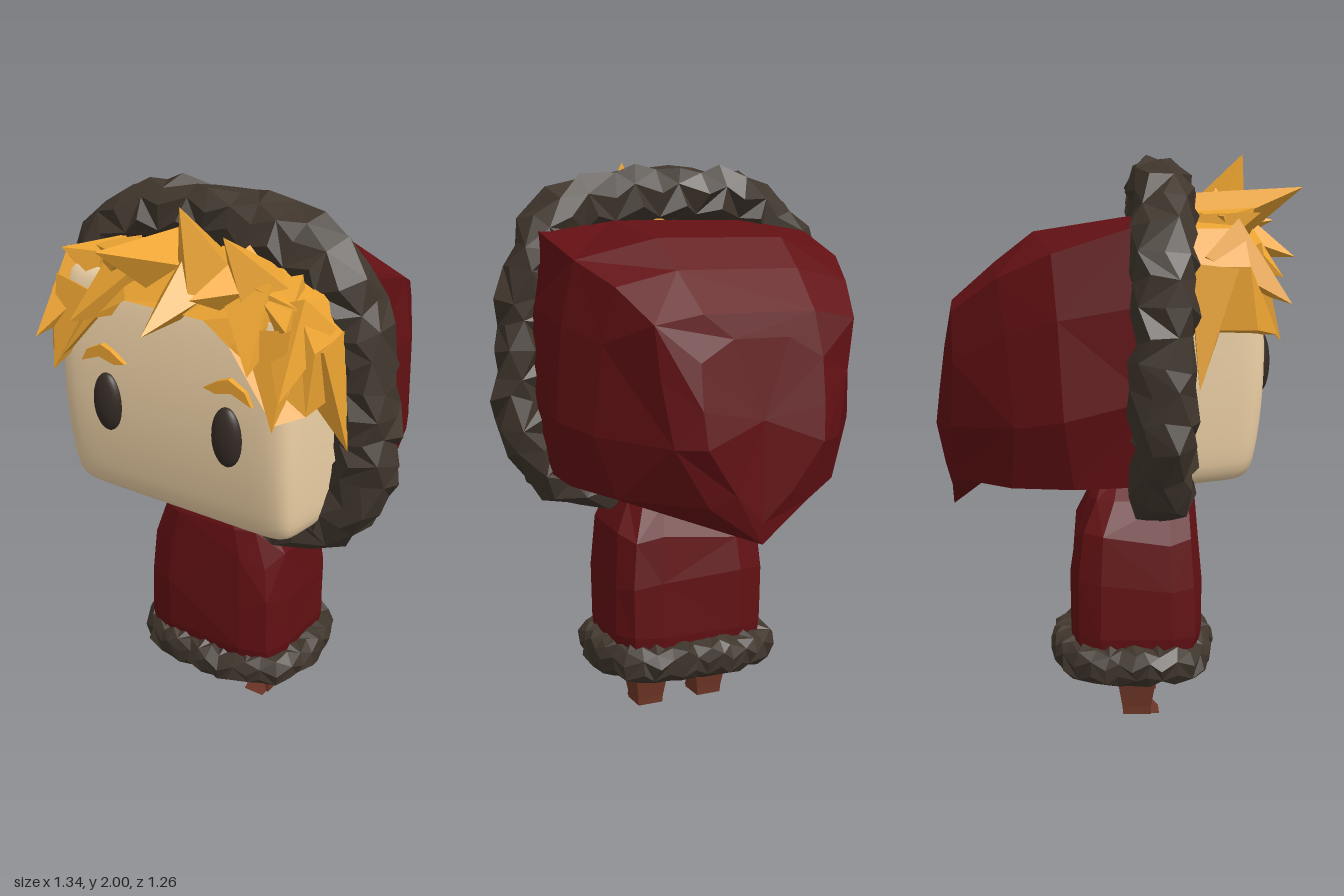
import * as THREE from 'three';
import { mergeVertices } from 'three/addons/utils/BufferGeometryUtils.js';

const V = (x, y, z) => new THREE.Vector3(x, y, z);
const flat = (color) => new THREE.MeshStandardMaterial({ color, flatShading: true });
const smooth = (color) => new THREE.MeshStandardMaterial({ color });

// Small seeded generator, gives -1..1
function seeded(seed) {
  return () => {
    seed = (seed * 1664525 + 1013904223) % 4294967296;
    return seed / 2147483648 - 1;
  };
}

// Skin a row of equal-length loops; either joined end to end or capped
function loft(rings, joined = false) {
  const n = rings[0].length, m = rings.length;
  const pos = rings.flat().flatMap((p) => [p.x, p.y, p.z]);
  const index = [];
  for (let i = 0; i < (joined ? m : m - 1); i++) {
    for (let j = 0; j < n; j++) {
      const k = (j + 1) % n, u = ((i + 1) % m) * n, a = i * n;
      if ((i + j) % 2) index.push(a + j, u + j, u + k, a + j, u + k, a + k);
      else index.push(a + j, u + j, a + k, u + j, u + k, a + k);
    }
  }
  if (!joined) {
    [0, m - 1].forEach((r, end) => {
      const c = rings[r].reduce((s, p) => s.add(p), V(0, 0, 0)).divideScalar(n);
      const ci = pos.length / 3;
      pos.push(c.x, c.y, c.z);
      for (let j = 0; j < n; j++) {
        const a = r * n + j, b = r * n + ((j + 1) % n);
        index.push(ci, end ? b : a, end ? a : b);
      }
    });
  }
  const g = new THREE.BufferGeometry();
  g.setAttribute('position', new THREE.Float32BufferAttribute(pos, 3));
  g.setIndex(index);
  g.computeVertexNormals();
  return g;
}

// Lumpy closed fur roll along a loop of points lying across the given axis
function furRoll(points, axis, out, along, segments, jitter, seed) {
  const rnd = seeded(seed), curve = new THREE.CatmullRomCurve3(points, true);
  const rings = [];
  for (let i = 0; i < segments; i++) {
    const c = curve.getPointAt(i / segments), t = curve.getTangentAt(i / segments);
    const o = t.clone().cross(axis).normalize();
    const ring = [];
    for (let j = 0; j < 8; j++) {
      const a = ((j + (i % 2) * 0.5) / 8) * Math.PI * 2, r = 1 + rnd() * jitter;
      ring.push(c.clone().addScaledVector(o, Math.cos(a) * out * r)
        .addScaledVector(axis, Math.sin(a) * along * Math.min(r, 1.06))
        .addScaledVector(t, rnd() * jitter * out * 0.9));
    }
    rings.push(ring);
  }
  return loft(rings, true);
}

// Softly rounded block, narrowing towards the back and the chin
function headGeometry() {
  let g = new THREE.BoxGeometry(2, 2, 2, 24, 24, 24);
  g.deleteAttribute('uv');
  g.deleteAttribute('normal');
  g = mergeVertices(g);
  const p = g.attributes.position;
  for (let i = 0; i < p.count; i++) {
    const v = V(p.getX(i), p.getY(i), p.getZ(i));
    v.divideScalar((v.x ** 14 + v.y ** 14 + v.z ** 14) ** (1 / 14));
    const back = Math.max(0, -v.z), front = Math.max(0, v.z), low = Math.max(0, -v.y), high = Math.max(0, v.y);
    p.setXYZ(i, 0.475 * v.x * (1 - 0.3 * back) * (1 - 0.04 * front - 0.04 * low * low),
      0.425 * v.y * (1 - 0.15 * back) + 0.03 * front * low,
      0.34 * v.z * (1 - 0.13 * low * low - 0.15 * high * high));
  }
  g.computeVertexNormals();
  return g;
}

export function createModel() {
  const model = new THREE.Group();
  const add = (name, geo, mat, parent = model) => {
    const m = new THREE.Mesh(geo, mat);
    m.name = name;
    parent.add(m);
    return m;
  };
  const red = flat(0x621013), fur = flat(0x40362d), gold = flat(0xeca432);
  const skin = smooth(0xeed1a6), dark = smooth(0x352b25), brown = flat(0x6e3626), grey = flat(0xcccccc);

  add('head', headGeometry(), skin).position.set(0, 1.31, 0.135);

  // Eyes and eyebrows
  const brow = [[0.155, 1.45], [0.2, 1.44], [0.26, 1.455], [0.335, 1.425], [0.31, 1.47], [0.25, 1.5], [0.21, 1.485]];
  for (const s of [1, -1]) {
    const eye = add(s > 0 ? 'leftEye' : 'rightEye', new THREE.SphereGeometry(1, 24, 16), dark);
    eye.scale.set(0.056, 0.105, 0.035);
    eye.position.set(s * 0.238, 1.293, 0.475);
    const pts = brow.map(([x, y]) => new THREE.Vector2(x * s, y));
    const geo = new THREE.ExtrudeGeometry(new THREE.Shape(pts), { depth: 0.05, bevelEnabled: false });
    add(s > 0 ? 'leftEyebrow' : 'rightEyebrow', geo, gold).position.z = 0.435;
  }

  // Hair: arched mass over the forehead, sloping back at the top
  const hair = new THREE.Group();
  hair.name = 'hair';
  model.add(hair);
  const half = [[0.5, 1.42], [0.51, 1.62], [0.44, 1.74], [0.22, 1.79]];
  const line = [[0.15, 1.67], [0.25, 1.61], [0.36, 1.48], [0.43, 1.4]];
  const flip = (list) => list.map(([x, y]) => [-x, y]).reverse();
  const arch = [...half, ...flip(half), ...flip(line), ...line].map(([x, y]) => new THREE.Vector2(x, y));
  const archGeo = new THREE.ExtrudeGeometry(new THREE.Shape(arch), { depth: 0.3, bevelEnabled: false });
  const ap = archGeo.attributes.position;
  for (let i = 0; i < ap.count; i++) {
    const x = Math.abs(ap.getX(i)), y = ap.getY(i);
    const outer = x > 0.48 || y > 1.7 ? 0.07 : 0;
    ap.setZ(i, ap.getZ(i) > 0.15 ? 0.51 - (y - 1.4) * 0.14 - outer : 0.15);
  }
  add('hairMass', archGeo, gold, hair);

  // Hair spikes: root, tip, radius
  const spike = (root, tip, r) => {
    const a = V(...root), b = V(...tip), d = b.clone().sub(a), h = d.length();
    const m = add('hairSpike', new THREE.ConeGeometry(r, h, 4), gold, hair);
    m.position.copy(a).lerp(b, 0.5);
    m.quaternion.setFromUnitVectors(V(0, 1, 0), d.normalize());
  };
  const fringe = [
    [[0.09, 1.72, 0.33], [0.05, 2.0, 0.44], 0.14],
    [[0.27, 1.71, 0.3], [0.2, 1.93, 0.43], 0.13],
    [[-0.08, 1.74, 0.28], [-0.13, 1.88, 0.63], 0.13],
    [[0.05, 1.76, 0.3], [0.03, 1.64, 0.63], 0.13],
    [[0.2, 1.74, 0.28], [0.17, 1.77, 0.57], 0.12],
    [[-0.3, 1.71, 0.3], [-0.17, 1.81, 0.46], 0.12],
    [[-0.3, 1.7, 0.3], [-0.42, 1.79, 0.45], 0.12],
    [[-0.2, 1.7, 0.36], [-0.33, 1.58, 0.54], 0.12],
    [[0.32, 1.7, 0.3], [0.45, 1.7, 0.48], 0.12],
    [[0.26, 1.7, 0.34], [0.36, 1.56, 0.55], 0.12],
  ];
  fringe.forEach((s) => spike(...s));
  for (const s of [1, -1]) {
    spike([s * 0.37, 1.64, 0.38], [s * 0.43, 1.38, 0.52], 0.12);
    spike([s * 0.4, 1.68, 0.32], [s * 0.47, 1.5, 0.55], 0.12);
    spike([s * 0.44, 1.6, 0.3], [s * 0.55, 1.23, 0.25], 0.11);
  }

  // Hood: boxy faceted sections running backwards, ending in a low tip
  const sections = [
    [[0, 0.95, 0.1], [0.49, 0.91, 0.1], [0.54, 1.2, 0.1], [0.545, 1.5, 0.08], [0.52, 1.75, 0.06], [0.25, 1.785, 0.06]],
    [[0, 0.94, -0.18], [0.49, 0.9, -0.15], [0.55, 1.13, -0.18], [0.535, 1.45, -0.2], [0.495, 1.66, -0.22], [0.23, 1.73, -0.29]],
    [[0, 0.9, -0.4], [0.41, 0.89, -0.36], [0.48, 1.1, -0.34], [0.46, 1.4, -0.37], [0.425, 1.58, -0.4], [0.22, 1.63, -0.42]],
    [[0, 0.75, -0.6], [0.18, 0.88, -0.58], [0.3, 1.08, -0.57], [0.34, 1.3, -0.555], [0.36, 1.47, -0.555], [0.2, 1.5, -0.57]],
    [[0, 0.82, -0.605], [0.1, 0.92, -0.615], [0.21, 1.08, -0.63], [0.22, 1.2, -0.615], [0.22, 1.35, -0.595], [0.1, 1.42, -0.583]],
  ].map((s) => [...s, ...s.slice(1).map(([x, y, z]) => [-x, y, z]).reverse()].map((p) => V(...p)));
  add('hood', loft(sections), red);

  // Fur trim around the hood opening, tucked back where it meets the collar
  const trim = [[0.1, 0.86], [0.25, 0.84], [0.42, 0.88], [0.535, 1.02], [0.552, 1.3], [0.515, 1.6], [0.4, 1.8], [0.2, 1.867]];
  const trimPath = [...trim, ...flip(trim)].map(([x, y]) => V(x, y, Math.abs(x) < 0.15 && y < 1 ? 0.1 : 0.135));
  add('hoodFurTrim', furRoll(trimPath, V(0, 0, 1), 0.105, 0.112, 44, 0.2, 7), fur);

  // Coat: rounded-square sections with slightly uneven facets
  const rnd = seeded(21);
  const coat = [[0.2, 0.28, 0.22], [0.32, 0.295, 0.24], [0.52, 0.295, 0.237], [0.68, 0.278, 0.222], [0.8, 0.225, 0.19], [0.86, 0.15, 0.165], [0.885, 0.1, 0.14]]
    .map(([y, w, d]) => Array.from({ length: 12 }, (_, j) => {
      const a = ((j + 0.5) / 12) * Math.PI * 2, c = Math.cos(a), s = Math.sin(a), k = 1 + rnd() * 0.02;
      return V(0.006 + Math.sign(c) * Math.abs(c) ** 0.48 * w * k, y + (y > 0.4 && y < 0.75 ? rnd() * 0.03 : 0),
        0.06 + (y > 0.75 ? 0.02 : 0) + Math.sign(s) * Math.abs(s) ** 0.48 * d * k);
    }));
  add('coat', loft(coat), red);

  // Fur trim around the hem
  const hem = Array.from({ length: 16 }, (_, i) => {
    const a = (-i / 16) * Math.PI * 2, c = Math.cos(a), s = Math.sin(a);
    return V(0.006 + Math.sign(c) * Math.abs(c) ** 0.7 * 0.293, 0.228, 0.05 + Math.sign(s) * Math.abs(s) ** 0.7 * 0.233);
  });
  add('hemFurTrim', furRoll(hem, V(0, 1, 0), 0.066, 0.07, 40, 0.2, 3), fur);

  // Legs and boots, with a small toe at the front
  const box = (x, y, w, z0, z1) => [V(x + w, y, z0), V(x + w, y, z1), V(x - w, y, z1), V(x - w, y, z0)];
  for (const s of [1, -1]) {
    const x = 0.007 + s * 0.121, side = s > 0 ? 'left' : 'right';
    add(side + 'Leg', loft([box(x, 0.12, 0.052, 0.01, 0.115), box(x, 0.26, 0.058, 0, 0.12)]), grey);
    add(side + 'Boot', loft([box(x, 0, 0.048, 0.015, 0.115), box(x, 0.03, 0.05, 0.012, 0.115), box(x, 0.13, 0.066, -0.005, 0.132)]), brown);
    add(side + 'Toe', loft([box(x, 0, 0.04, 0.1, 0.145), box(x, 0.03, 0.034, 0.1, 0.118)]), brown);
  }
  return model;
}
